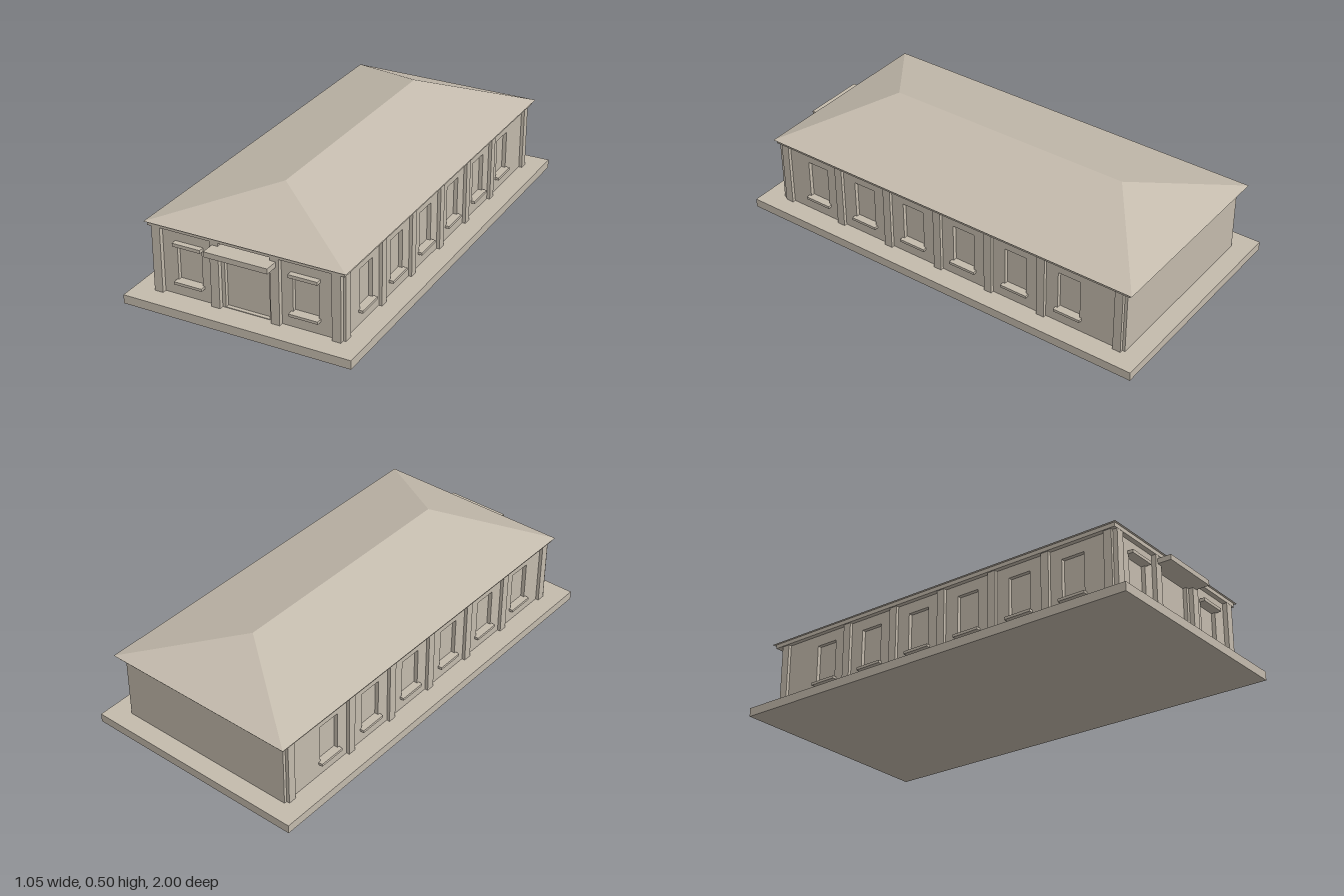
import * as THREE from 'three';
import { ConvexGeometry } from 'three/addons/geometries/ConvexGeometry.js';

const FLOOR = 0.04, WALL_TOP = 0.34, EAVE = 0.358;
const WALL_X = 0.431, FRONT_Z = 0.888, BACK_Z = -0.914, WALL_DEPTH = 0.018;

export function createModel() {
  const model = new THREE.Group();
  model.name = 'hippedRoofHall';
  const stone = new THREE.MeshStandardMaterial({ color: 0xc4bbad });
  stone.name = 'warmStone';

  const add = (name, geometry) => {
    const mesh = new THREE.Mesh(geometry, stone);
    mesh.name = name;
    model.add(mesh);
    return mesh;
  };
  // Box given by its minimum and maximum on each axis
  const box = (name, x0, x1, y0, y1, z0, z1) => {
    const mesh = add(name, new THREE.BoxGeometry(x1 - x0, y1 - y0, z1 - z0));
    mesh.position.set((x0 + x1) / 2, (y0 + y1) / 2, (z0 + z1) / 2);
    return mesh;
  };
  // Box mirrored to both sides of the building
  const pair = (name, x0, x1, y0, y1, z0, z1) => {
    box(name + 'Left', x0, x1, y0, y1, z0, z1);
    box(name + 'Right', -x1, -x0, y0, y1, z0, z1);
  };
  const rect = (path, u0, u1, v0, v1) => {
    path.moveTo(u0, v0);
    path.lineTo(u1, v0);
    path.lineTo(u1, v1);
    path.lineTo(u0, v1);
    path.closePath();
    return path;
  };
  // Wall sheet with rectangular openings, each [u0, u1, v0, v1]
  const wall = (name, u0, u1, openings) => {
    const shape = rect(new THREE.Shape(), u0, u1, FLOOR, WALL_TOP);
    openings.forEach((o) => shape.holes.push(rect(new THREE.Path(), ...o)));
    return add(name, new THREE.ExtrudeGeometry(shape, { depth: WALL_DEPTH, bevelEnabled: false }));
  };

  // Plinth and the core, whose faces close the recessed openings
  box('plinth', -0.527, 0.527, 0, FLOOR, -1, 1);
  const coreX = WALL_X - WALL_DEPTH;
  box('core', -coreX, coreX, FLOOR, WALL_TOP, BACK_Z + 0.002, FRONT_Z - WALL_DEPTH);
  box('backWall', -WALL_X, WALL_X, FLOOR, WALL_TOP, BACK_Z, BACK_Z + WALL_DEPTH);

  // Front wall with a doorway and two windows
  const frontWindows = [-0.268, 0.268];
  const openings = frontWindows.map((x) => [x - 0.058, x + 0.058, 0.11, 0.273]);
  openings.push([-0.103, 0.103, 0.043, 0.302]);
  wall('frontWall', -WALL_X, WALL_X, openings).position.z = FRONT_Z - WALL_DEPTH;
  for (const x of frontWindows) {
    box('frontSill', x - 0.066, x + 0.066, 0.098, 0.11, FRONT_Z - 0.005, 0.914);
    box('frontLintel', x - 0.066, x + 0.066, 0.273, 0.288, FRONT_Z - 0.005, 0.914);
  }

  // Front pilasters and door canopy
  pair('doorPilaster', 0.119, 0.159, FLOOR, WALL_TOP, FRONT_Z - 0.005, 0.909);
  pair('cornerPilaster', 0.394, 0.434, FLOOR, WALL_TOP, FRONT_Z - 0.01, 0.909);
  box('doorCanopy', -0.146, 0.146, 0.302, 0.326, FRONT_Z - 0.005, 0.972);

  // Side walls with six windows each
  const windowZ = [0.693, 0.428, 0.16, -0.107, -0.374, -0.639];
  for (const side of [1, -1]) {
    // The wall sheet is turned so that its u axis runs along -z or +z
    const holes = windowZ.map((z) => [-side * z - 0.054, -side * z + 0.054, 0.11, 0.29]);
    const ends = [-side * (FRONT_Z - 0.001), -side * (BACK_Z + 0.001)];
    const sheet = wall('sideWall', Math.min(...ends), Math.max(...ends), holes);
    sheet.rotation.y = side * Math.PI / 2;
    sheet.position.x = side * (WALL_X - WALL_DEPTH);
  }
  for (const z of windowZ) {
    pair('sideSill', WALL_X - 0.005, 0.45, 0.098, 0.11, z - 0.064, z + 0.064);
  }

  // Side pilasters, listed by centre
  for (const z of [0.869, 0.564, 0.294, 0.024, -0.241, -0.508, -0.882]) {
    pair('sidePilaster', WALL_X - 0.005, 0.446, FLOOR, WALL_TOP, z - 0.019, z + 0.019);
  }

  // Cornice and hipped roof
  box('cornice', -0.452, 0.452, WALL_TOP, EAVE, -0.936, 0.91);
  const corners = [[-0.463, EAVE, 0.92], [0.463, EAVE, 0.92], [0.463, EAVE, -0.95], [-0.463, EAVE, -0.95],
    [0, 0.498, 0.573], [0, 0.498, -0.602]];
  add('hippedRoof', new ConvexGeometry(corners.map((p) => new THREE.Vector3(...p))));

  return model;
}
